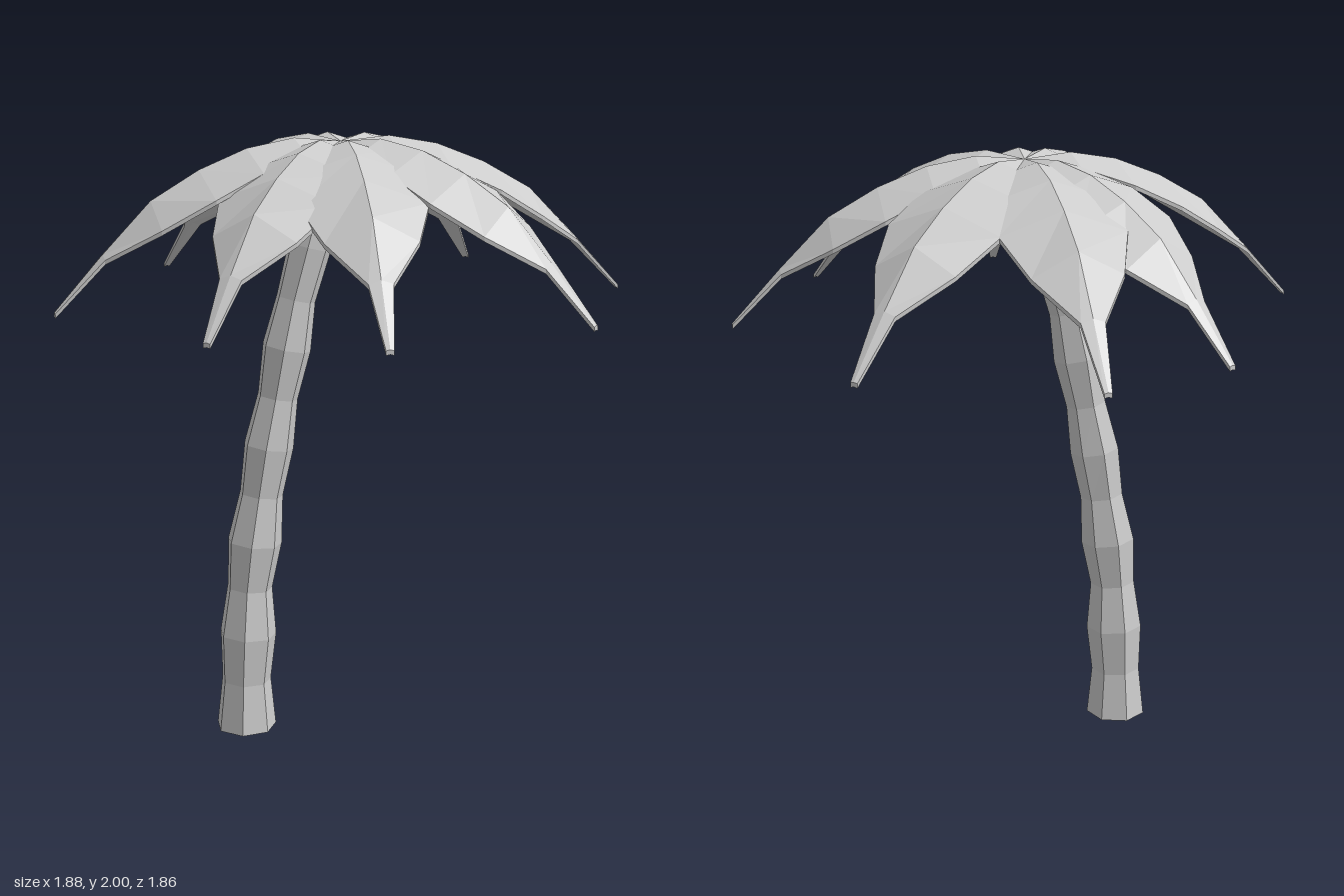
import * as THREE from 'three';

// Skin a row of closed rings (counter-clockwise seen from the far end) and cap both ends.
function loft(rings) {
  const pos = [];
  const tri = (a, b, c) => pos.push(...a, ...b, ...c);
  const n = rings[0].length;
  for (let i = 0; i < rings.length - 1; i++) {
    for (let j = 0; j < n; j++) {
      const k = (j + 1) % n;
      tri(rings[i][j], rings[i][k], rings[i + 1][k]);
      tri(rings[i][j], rings[i + 1][k], rings[i + 1][j]);
    }
  }
  const first = rings[0], last = rings[rings.length - 1];
  for (let j = 1; j < n - 1; j++) {
    tri(first[0], first[j + 1], first[j]);
    tri(last[0], last[j], last[j + 1]);
  }
  const geometry = new THREE.BufferGeometry();
  geometry.setAttribute('position', new THREE.Float32BufferAttribute(pos, 3));
  geometry.computeVertexNormals();
  return geometry;
}

// Seven-sided leaning trunk: [centre x, y, radius] per ring, alternately wide and narrow.
function trunkGeometry() {
  const path = [
    [-0.345, 0, 0.103], [-0.343, 0.17, 0.085], [-0.335, 0.335, 0.097], [-0.327, 0.5, 0.077],
    [-0.308, 0.66, 0.092], [-0.284, 0.825, 0.073], [-0.257, 0.99, 0.083], [-0.226, 1.155, 0.067],
    [-0.195, 1.32, 0.08], [-0.163, 1.48, 0.064], [-0.117, 1.65, 0.07], [-0.073, 1.81, 0.058],
    [-0.03, 1.95, 0.06],
  ];
  return loft(path.map(([x, y, r], i) => {
    const tilt = 0.3 * i / (path.length - 1);
    return Array.from({ length: 7 }, (_, j) => {
      const a = j * Math.PI * 2 / 7;
      const dx = r * Math.cos(a);
      return [x + dx, y - dx * tilt, 0.052 - r * Math.sin(a)];
    });
  }));
}

// Drooping frond along +x with a raised midrib: [ridge height, half width, edge drop] per section.
function frondGeometry(length) {
  const sections = [
    [1.985, 0.012, 0.004], [2.0, 0.11, 0.035], [1.972, 0.185, 0.06], [1.91, 0.2, 0.072],
    [1.82, 0.142, 0.075], [1.66, 0.037, 0.012], [1.488, 0.012, 0.003],
  ];
  const thick = 0.014;
  return loft(sections.map(([y, w, drop], i) => {
    const x = length * i / (sections.length - 1);
    return [
      [x, y - drop, -w], [x, y, 0], [x, y - drop, w],
      [x, y - drop - thick, w], [x, y - thick, 0], [x, y - drop - thick, -w],
    ];
  }));
}

export function createModel() {
  const model = new THREE.Group();
  const grey = new THREE.MeshStandardMaterial({ color: 0xcccccc });
  grey.name = 'plain grey';
  grey.flatShading = true;

  const add = (name, geometry, parent = model) => {
    const mesh = new THREE.Mesh(geometry, grey);
    mesh.name = name;
    parent.add(mesh);
    return mesh;
  };

  add('trunk', trunkGeometry());

  // Eight fronds, each aimed from the crown centre at its tip (x, z)
  const crown = new THREE.Group();
  crown.name = 'crown';
  model.add(crown);
  const cx = -0.015, cz = 0.05;
  const tips = [
    [0.94, 0.0], [0.59, -0.73], [-0.11, -0.935], [-0.525, -0.71],
    [-0.94, 0.21], [-0.52, 0.745], [-0.022, 0.925], [0.65, 0.69],
  ];
  tips.forEach(([x, z], i) => {
    const dx = x - cx, dz = z - cz;
    const frond = add('frond' + (i + 1), frondGeometry(Math.hypot(dx, dz)), crown);
    frond.position.set(cx, 0, cz);
    frond.rotation.y = Math.atan2(-dz, dx);
  });

  // Coconuts tucked under the crown
  const nuts = [[-0.03, 1.86, -0.05], [-0.1, 1.84, 0.09], [0.06, 1.84, 0.03]];
  nuts.forEach(([x, y, z], i) => {
    const nut = add('coconut' + (i + 1), new THREE.IcosahedronGeometry(0.055, 0));
    nut.position.set(x, y, z);
    nut.rotation.y = i;
  });

  return model;
}
